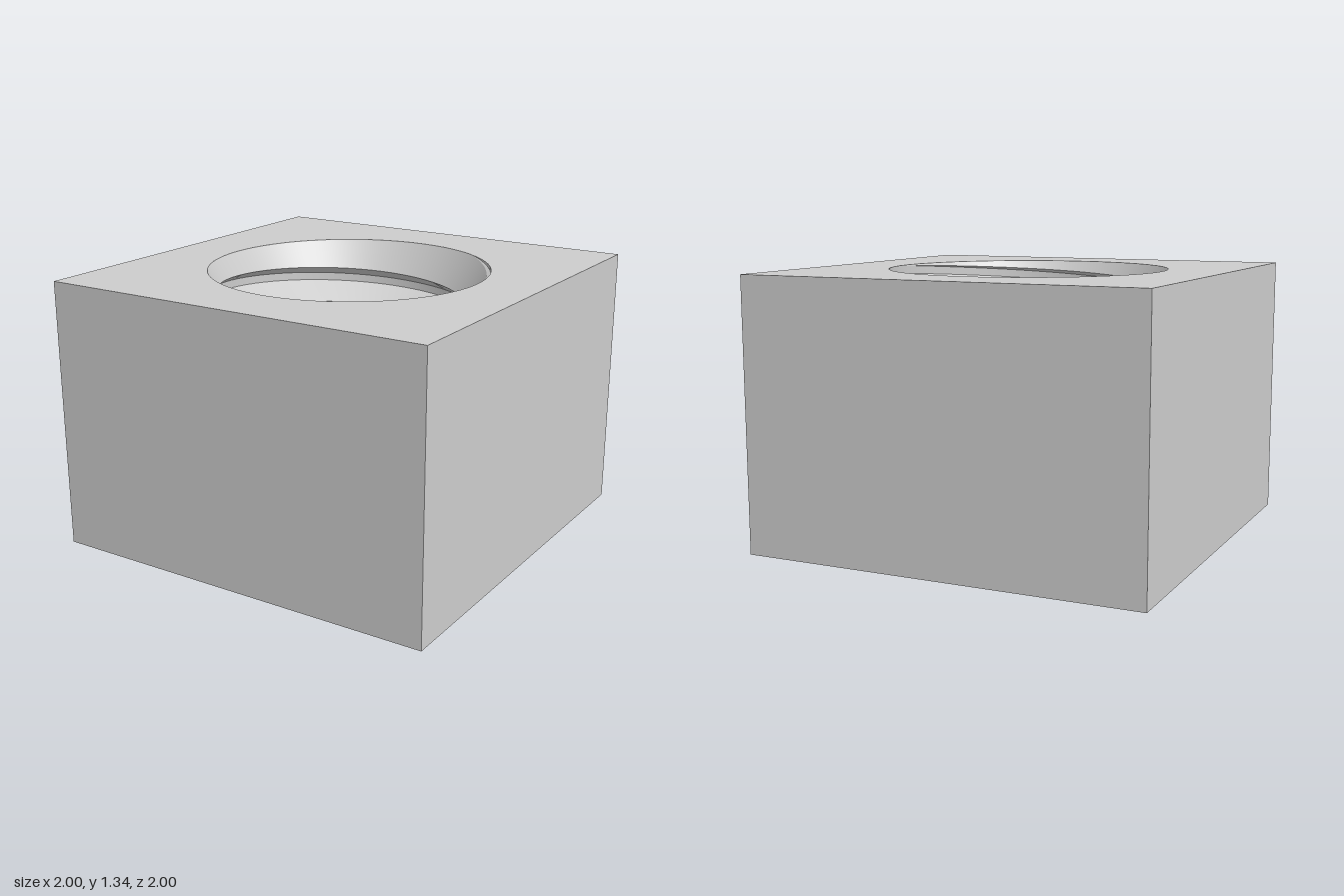
import * as THREE from 'three';
import { toCreasedNormals } from 'three/addons/utils/BufferGeometryUtils.js';

const H = 1.335;            // block height
const MAJOR = 0.692;        // thread root and bore mouth radius
const MINOR = 0.545;        // thread crest radius
const PITCH = 0.28;
const CONE = Math.tan(Math.PI / 3);                      // countersink height per unit radius
const FLANK = (MAJOR - MINOR) * Math.tan(Math.PI / 6);   // flank height
const SEGMENTS = 144;

// One turn of the thread, bottom to top: [height offset, radius]
const PROFILE = [
  [0, MINOR],
  [0.07, MINOR],
  [0.07 + FLANK, MAJOR],
  [PITCH - FLANK, MAJOR],
  [PITCH, MINOR],
];

const clamp = THREE.MathUtils.clamp;

// Wall points of the bore at one angle: each profile band is split where it meets a countersink
function boreColumn(angle) {
  const start = 1.205 + PITCH * (angle / (2 * Math.PI) - 0.25);
  const points = [];
  for (let turn = -7; turn <= 3; turn++) {
    for (let b = 0; b < 4; b++) {
      const [y0, r0, y1, r1] = [...PROFILE[b], ...PROFILE[b + 1]];
      const low = start + turn * PITCH + y0;
      const high = start + turn * PITCH + y1;
      const slope = (r1 - r0) / (y1 - y0);
      const upper = low + high > H;
      const coneSlope = (upper ? 1 : -1) / CONE;
      const coneAtLow = MAJOR - (upper ? H - low : low) / CONE;
      const cross = clamp(low + (r0 - coneAtLow) / (coneSlope - slope), low, high);
      for (const h of [low, cross, high]) {
        const y = clamp(h, 0, H);
        const cone = MAJOR - Math.min(y, H - y) / CONE;
        const r = Math.max(r0 + slope * (y - low), cone);
        // bands lying wholly outside the block collapse onto the mouth
        const radius = (y === 0 || y === H) ? MAJOR : r;
        points.push(new THREE.Vector3(radius * Math.cos(angle), y, -radius * Math.sin(angle)));
      }
    }
  }
  return points;
}

function threadedBore() {
  const positions = [];
  const ab = new THREE.Vector3(), ac = new THREE.Vector3();
  const triangle = (a, b, c) => {
    const area = ab.subVectors(b, a).cross(ac.subVectors(c, a)).length();
    if (area > 1e-9) for (const p of [a, b, c]) positions.push(p.x, p.y, p.z);
  };
  let previous = boreColumn(0);
  for (let i = 1; i <= SEGMENTS; i++) {
    const next = boreColumn((i / SEGMENTS) * 2 * Math.PI);
    for (let j = 0; j + 1 < next.length; j++) {
      triangle(previous[j], previous[j + 1], next[j + 1]);
      triangle(previous[j], next[j + 1], next[j]);
    }
    previous = next;
  }
  const geometry = new THREE.BufferGeometry();
  geometry.setAttribute('position', new THREE.Float32BufferAttribute(positions, 3));
  return toCreasedNormals(geometry, Math.PI / 9);
}

export function createModel() {
  const group = new THREE.Group();
  group.name = 'squareNut';
  const steel = new THREE.MeshStandardMaterial({ color: 0xcccccc });
  steel.name = 'steel grey';

  const add = (name, geometry) => {
    const mesh = new THREE.Mesh(geometry, steel);
    mesh.name = name;
    group.add(mesh);
    return mesh;
  };

  // Top and bottom faces with the round bore mouth
  const square = new THREE.Shape([[-1, -1], [1, -1], [1, 1], [-1, 1]].map(p => new THREE.Vector2(...p)));
  square.holes.push(new THREE.Path().absarc(0, 0, MAJOR, 0, Math.PI * 2, true));
  const face = new THREE.ShapeGeometry(square, SEGMENTS);
  const top = add('topFace', face);
  top.rotation.x = -Math.PI / 2;
  top.position.y = H;
  add('bottomFace', face).rotation.x = Math.PI / 2;

  // Four flat sides
  ['frontSide', 'leftSide', 'backSide', 'rightSide'].forEach((name, i) => {
    const side = add(name, new THREE.PlaneGeometry(2, H));
    const turn = i * Math.PI / 2;
    side.rotation.y = turn;
    side.position.set(Math.sin(turn), H / 2, Math.cos(turn));
  });

  // Countersunk helical thread
  add('threadedBore', threadedBore());
  return group;
}
